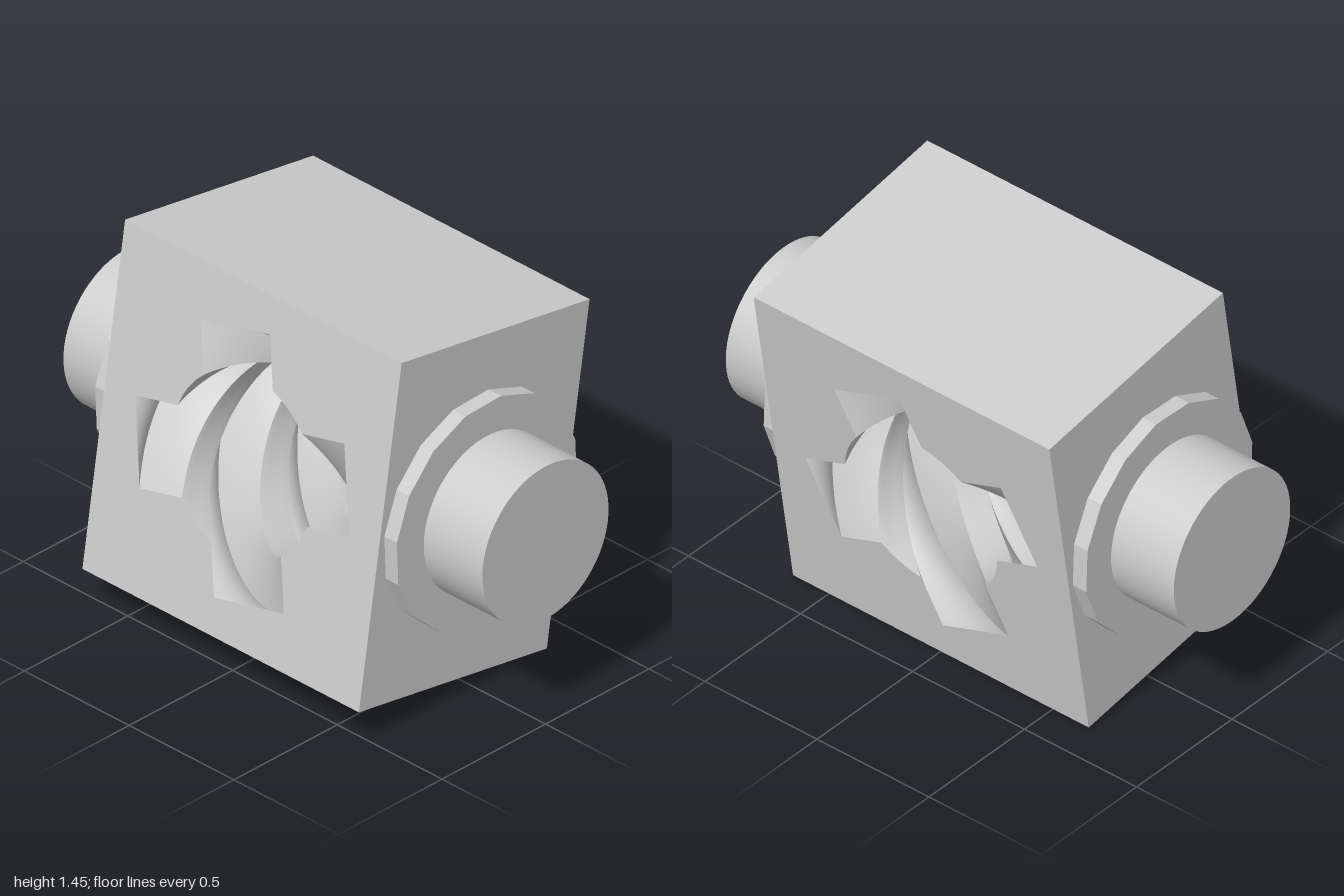
import * as THREE from 'three';
import { mergeGeometries } from 'three/addons/utils/BufferGeometryUtils.js';

const SIZE = 1.32, DEPTH = 0.92;            // block
const BORE = 0.337, SLOT = 0.495, HALF = 0.165; // bore radius, slot reach, slot half width
const FRONT = THREE.MathUtils.degToRad(12.5);
const TWIST = THREE.MathUtils.degToRad(-214);
const ROWS = 140, COLS = 4;

// Edges of the four-slot bore outline, counter-clockwise, each a short run of points
function boreEdges() {
  const inner = Math.sqrt(BORE * BORE - HALF * HALF);
  const a = Math.asin(HALF / BORE);
  const line = (x0, y0, x1, y1) => Array.from({ length: COLS + 1 }, (_, i) =>
    new THREE.Vector2(x0 + (x1 - x0) * i / COLS, y0 + (y1 - y0) * i / COLS));
  const arc = Array.from({ length: COLS + 1 }, (_, i) => {
    const t = a + (Math.PI / 2 - 2 * a) * i / COLS;
    return new THREE.Vector2(BORE * Math.cos(t), BORE * Math.sin(t));
  });
  const quarter = [
    line(inner, -HALF, SLOT, -HALF),
    line(SLOT, -HALF, SLOT, HALF),
    line(SLOT, HALF, inner, HALF),
    arc,
  ];
  const edges = [];
  for (let k = 0; k < 4; k++) {
    for (const e of quarter) {
      edges.push(e.map(p => p.clone().rotateAround(new THREE.Vector2(), k * Math.PI / 2)));
    }
  }
  return edges;
}

// One outline edge swept through the block while it turns
function twistedStrip(edge) {
  const pos = [], index = [], n = edge.length;
  for (let j = 0; j <= ROWS; j++) {
    const f = j / ROWS, t = FRONT + TWIST * f, c = Math.cos(t), s = Math.sin(t);
    for (const p of edge) pos.push(p.x * c - p.y * s, p.x * s + p.y * c, DEPTH * (0.5 - f));
  }
  for (let j = 0; j < ROWS; j++) {
    for (let i = 0; i < n - 1; i++) {
      const a = j * n + i, b = a + 1, c = a + n, d = c + 1;
      index.push(a, b, c, b, d, c);
    }
  }
  const g = new THREE.BufferGeometry();
  g.setAttribute('position', new THREE.Float32BufferAttribute(pos, 3));
  g.setIndex(index);
  g.computeVertexNormals();
  return g;
}

// Square face pierced by the bore outline turned to the given angle
function piercedFace(edges, angle) {
  const h = SIZE / 2;
  const shape = new THREE.Shape([
    new THREE.Vector2(-h, -h), new THREE.Vector2(h, -h),
    new THREE.Vector2(h, h), new THREE.Vector2(-h, h),
  ]);
  const outline = edges.flatMap(e => e.slice(0, -1))
    .map(p => p.clone().rotateAround(new THREE.Vector2(), angle));
  shape.holes.push(new THREE.Path(outline.reverse()));
  return new THREE.ShapeGeometry(shape).translate(0, 0, DEPTH / 2);
}

export function createModel() {
  const model = new THREE.Group();
  const grey = new THREE.MeshStandardMaterial({ color: 0xcccccc });
  grey.name = 'light grey';

  // Everything sits in one assembly that leans back
  const assembly = new THREE.Group();
  assembly.name = 'tiltedAssembly';
  assembly.rotation.x = -THREE.MathUtils.degToRad(9);
  assembly.position.y = 0.724;
  model.add(assembly);
  const add = (name, geometry) => {
    const mesh = new THREE.Mesh(geometry, grey);
    mesh.name = name;
    assembly.add(mesh);
    return mesh;
  };

  // Block faces
  const edges = boreEdges();
  add('frontFace', piercedFace(edges, FRONT));
  add('backFace', piercedFace(edges, -(FRONT + TWIST)).rotateY(Math.PI));
  const side = () => new THREE.PlaneGeometry(SIZE, DEPTH).rotateX(-Math.PI / 2).translate(0, SIZE / 2, 0);
  ['topFace', 'leftFace', 'bottomFace', 'rightFace'].forEach((name, k) =>
    add(name, side().rotateZ(-k * Math.PI / 2)));

  // Spiral slotted bore
  add('spiralBore', mergeGeometries(edges.map(twistedStrip)));

  // Collar and shaft on both sides
  for (const s of [1, -1]) {
    const label = s > 0 ? 'left' : 'right';
    const disc = (name, radius, from, to, sides) => add(label + name,
      new THREE.CylinderGeometry(radius, radius, to - from, sides)
        .rotateZ(-Math.PI / 2).translate((from + to) / 2, 0, 0)
        .rotateY(s > 0 ? 0 : Math.PI));
    const collar = disc('Collar', 0.44, 0.65, 0.72, 16);
    collar.geometry = collar.geometry.toNonIndexed();
    collar.geometry.computeVertexNormals(); // faceted rim
    disc('Shaft', 0.305, 0.71, 1, 64);
  }
  return model;
}
